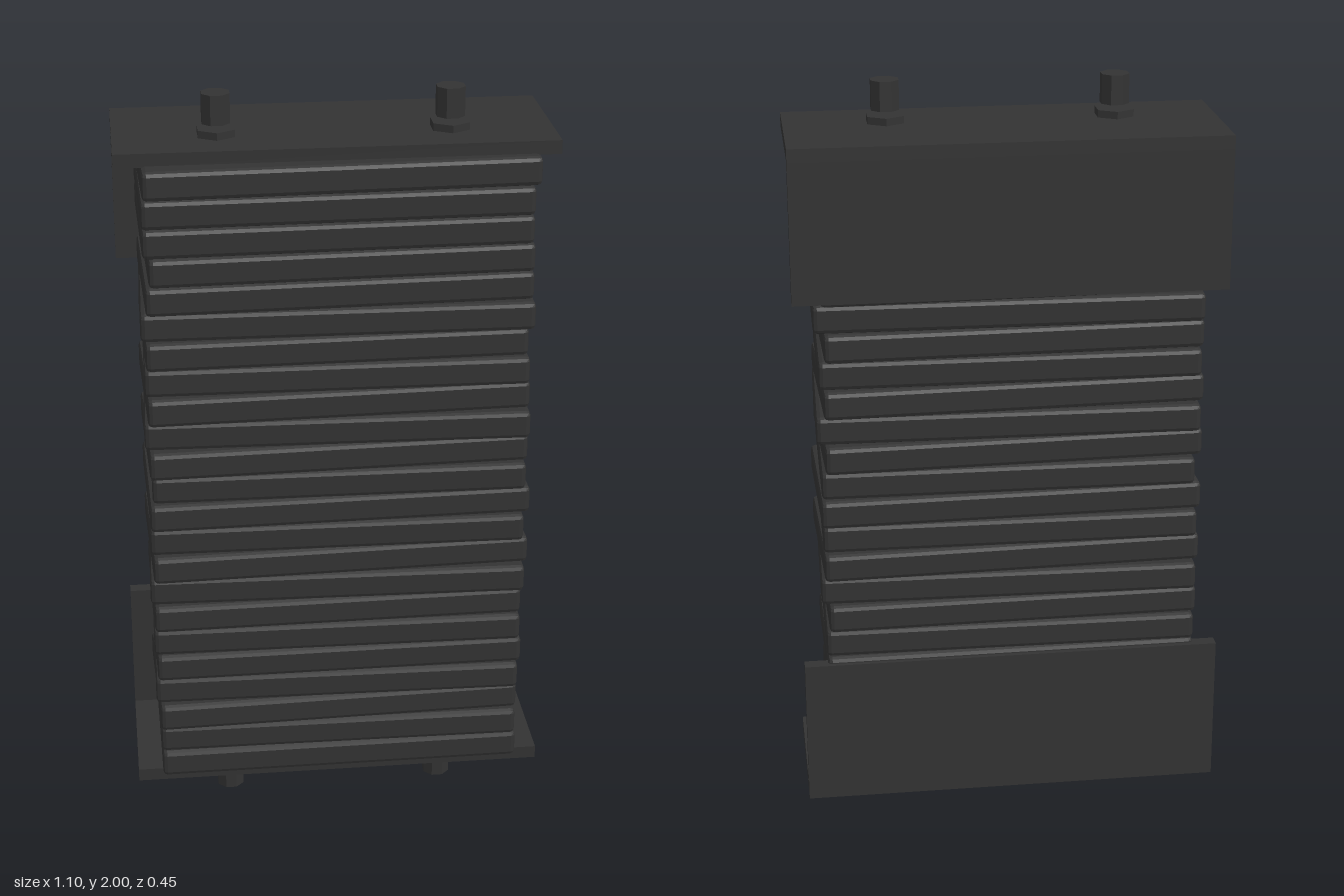
import * as THREE from 'three';
import { RoundedBoxGeometry } from 'three/addons/geometries/RoundedBoxGeometry.js';

const darkMetal = new THREE.MeshStandardMaterial({ color: 0x333333 });

// Drop shared vertices so every facet is flat
function faceted(geometry) {
  const g = geometry.index ? geometry.toNonIndexed() : geometry;
  g.computeVertexNormals();
  return g;
}

function addMesh(parent, name, geometry, x, y, z) {
  const mesh = new THREE.Mesh(geometry, darkMetal);
  mesh.name = name;
  mesh.position.set(x, y, z);
  parent.add(mesh);
  return mesh;
}

// Stack of bevelled bars, each slightly shifted and turned
function createBarStack() {
  const stack = new THREE.Group();
  stack.name = 'barStack';
  const bottom = 0.145, pitch = 1.715 / 23, depth = 0.425;
  // left edge, right edge (hundredths) and turn (thousandths), from the top down
  const bars = [
    [-49.5, 50, 26], [-49.5, 48.5, 14], [-49.5, 48.5, 16], [-48.5, 49, 24], [-49.5, 49, 24],
    [-50, 50, -18], [-49.5, 48, 14], [-49.5, 49, -16], [-50, 49, 26], [-50, 50, -26],
    [-50, 49, 26], [-48.5, 49, -14], [-50, 50, 18], [-49.5, 49, -16], [-50, 50, 26],
    [-50, 50, -26], [-49.5, 48.5, 10], [-49.5, 49, -16], [-49, 49, 4], [-49.5, 49, -20],
    [-49.5, 48.5, 24], [-48.5, 48.5, -11], [-48.5, 48.5, 3],
  ];
  bars.forEach(([left, right, turn], i) => {
    const angle = turn / 1000;
    const width = (right - left) / 100 - depth * Math.abs(angle);
    const y = bottom + pitch * (bars.length - 1 - i + 0.5);
    const geometry = faceted(new RoundedBoxGeometry(width, pitch, depth, 1, 0.012));
    addMesh(stack, 'bar', geometry, (left + right) / 200, y, 0).rotation.y = angle;
  });
  return stack;
}

// L-shaped end bracket with two hex nuts and studs; built for the top end
function createEnd(name, backHeight) {
  const end = new THREE.Group();
  end.name = name;
  const thick = 0.035;
  addMesh(end, 'endPlate', new THREE.BoxGeometry(1.1, thick, 0.395), 0, 0.892 - thick / 2, -0.0275);
  addMesh(end, 'backPlate', new THREE.BoxGeometry(1.1, backHeight, thick), 0, 0.892 - backHeight / 2, -0.2075);
  const nut = faceted(new THREE.CylinderGeometry(0.053, 0.053, 0.02, 6));
  const stud = faceted(new THREE.CylinderGeometry(0.038, 0.038, 0.076, 8).rotateY(Math.PI / 8));
  for (const side of [-1, 1]) {
    addMesh(end, 'nut', nut, side * 0.292, 0.901, 0.032);
    addMesh(end, 'stud', stud, side * 0.292, 0.962, 0.032);
  }
  return end;
}

export function createModel() {
  const model = new THREE.Group();
  model.name = 'barStackAssembly';
  model.add(createBarStack());

  const topEnd = createEnd('topEnd', 0.395);
  topEnd.position.y = 1;
  model.add(topEnd);

  // The same end, flipped by mirroring part heights
  const bottomEnd = createEnd('bottomEnd', 0.395);
  bottomEnd.children.forEach((part) => { part.position.y *= -1; });
  bottomEnd.position.y = 1;
  model.add(bottomEnd);
  return model;
}
